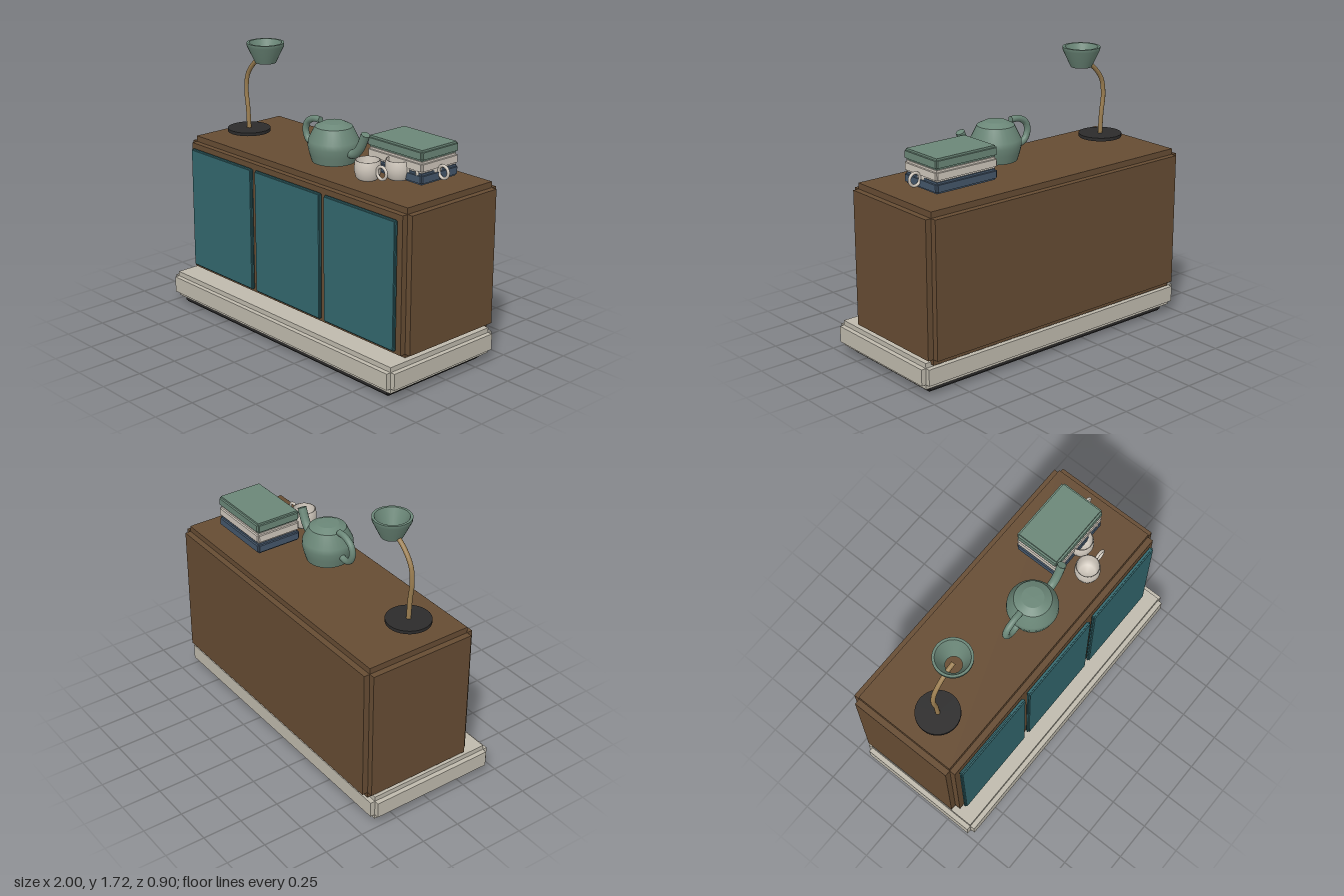
import * as THREE from 'three';

const mat = (name, color, side = THREE.FrontSide) => {
  const m = new THREE.MeshStandardMaterial({ color, side });
  m.name = name;
  return m;
};

export function createModel() {
  const model = new THREE.Group();
  model.name = 'sideboard';
  const wood = mat('walnut', 0x664c33);
  const teal = mat('teal', 0x33676d);
  const stone = mat('stone', 0xbfbaad);
  const black = mat('black', 0x2c2b2b);
  const green = mat('sage', 0x6b8778, THREE.DoubleSide);
  const brass = mat('brass', 0x9a7d50);
  const cream = mat('cream', 0xcfc7bc, THREE.DoubleSide);
  const navy = mat('slate blue', 0x44566a);

  const add = (parent, name, geometry, material, x = 0, y = 0, z = 0) => {
    const mesh = new THREE.Mesh(geometry, material);
    mesh.name = name;
    mesh.position.set(x, y, z);
    parent.add(mesh);
    return mesh;
  };
  const group = (name, x = 0, y = 0, z = 0) => {
    const g = new THREE.Group();
    g.name = name;
    g.position.set(x, y, z);
    model.add(g);
    return g;
  };
  // Box with a square rebate along every edge: three crossing boxes
  const rebatedBox = (name, material, [x0, x1], [y0, y1], [z0, z1], b) => {
    const g = group(name, (x0 + x1) / 2, (y0 + y1) / 2, (z0 + z1) / 2);
    const size = [x1 - x0, y1 - y0, z1 - z0];
    ['Sides', 'TopAndBottom', 'FrontAndBack'].forEach((label, axis) => {
      const s = size.map((v, i) => (i === axis ? v : v - 2 * b));
      add(g, name + label, new THREE.BoxGeometry(...s), material);
    });
  };
  const lathe = (points, segments = 32) =>
    new THREE.LatheGeometry(points.map(([r, y]) => new THREE.Vector2(r, y)), segments);
  // Tube with closed ends through points in the xy plane
  const rod = (parent, name, points, radius, material) => {
    const path = points.map(([x, y]) => new THREE.Vector3(x, y, 0));
    const curve = new THREE.CatmullRomCurve3(path);
    add(parent, name, new THREE.TubeGeometry(curve, 32, radius, 14), material);
    [0, 1].forEach((t) => {
      const p = curve.getPoint(t);
      const cap = add(parent, name + 'End', new THREE.CircleGeometry(radius, 14), material, p.x, p.y, p.z);
      const dir = curve.getTangent(t).multiplyScalar(t ? 1 : -1);
      cap.quaternion.setFromUnitVectors(new THREE.Vector3(0, 0, 1), dir);
    });
  };

  // Cabinet on its plinth
  rebatedBox('foot', black, [-0.935, 0.935], [0, 0.045], [-0.365, 0.4], 0.012);
  rebatedBox('plinth', stone, [-1, 1], [0.04, 0.2], [-0.418, 0.448], 0.03);
  rebatedBox('cabinet', wood, [-0.97, 0.97], [0.185, 1.09], [-0.45, 0.306], 0.037);
  [-0.615, 0, 0.615].forEach((x) =>
    rebatedBox('door', teal, [x - 0.292, x + 0.292], [0.245, 1.025], [0.312, 0.337], 0.008));

  // Lamp
  const lamp = group('lamp', -0.725, 1.12, 0.012);
  add(lamp, 'lampBase', new THREE.CylinderGeometry(0.134, 0.134, 0.02, 32), black, 0, 0.01, 0);
  rod(lamp, 'lampStem', [[0, 0.01], [-0.008, 0.15], [-0.021, 0.26], [-0.006, 0.36],
    [0.045, 0.432], [0.115, 0.485], [0.17, 0.5]], 0.014, brass);
  add(lamp, 'lampShade', lathe([[0.048, 0.47], [0.064, 0.47], [0.064, 0.47], [0.114, 0.575], [0.115, 0.595],
    [0.115, 0.595], [0.1, 0.595], [0.1, 0.595], [0.048, 0.47]]), green, 0.17, 0, 0);

  // Teapot
  const teapot = group('teapot', 0.098, 1.12, 0.045);
  add(teapot, 'teapotBody', lathe([[0, 0], [0.13, 0], [0.13, 0], [0.145, 0.05], [0.155, 0.095], [0.152, 0.13],
    [0.112, 0.212], [0.112, 0.212], [0.066, 0.235], [0.066, 0.235], [0, 0.237]]), green);
  rod(teapot, 'teapotHandle', [[-0.115, 0.222], [-0.175, 0.22], [-0.23, 0.19], [-0.248, 0.14],
    [-0.228, 0.085], [-0.18, 0.062], [-0.12, 0.075]], 0.02, green);
  rod(teapot, 'teapotSpout', [[0.12, 0.07], [0.18, 0.08], [0.225, 0.125], [0.268, 0.215]], 0.027, green);

  // Stack of books
  [['lowerBook', navy], ['middleBook', cream], ['upperBook', green]].forEach(([name, material], i) => {
    const y = 1.122 + i * 0.069;
    rebatedBox(name, material, [0.353, 0.793], [y, y + 0.066], [-0.283, 0.019], 0.012);
  });

  // Row of cups running back beside the books
  for (let i = 0; i < 3; i++) {
    const cup = group('cup', 0.49 + i * 0.11, 1.122, 0.145 - i * 0.135);
    add(cup, 'cupBody', lathe([[0, 0], [0.055, 0], [0.068, 0.014], [0.077, 0.05], [0.077, 0.075],
      [0.073, 0.114], [0.066, 0.114], [0.067, 0.06], [0.05, 0.015], [0, 0.012]]), cream);
    add(cup, 'cupHandle', new THREE.TorusGeometry(0.037, 0.009, 10, 28), cream, 0.113, 0.06, 0);
  }
  return model;
}
